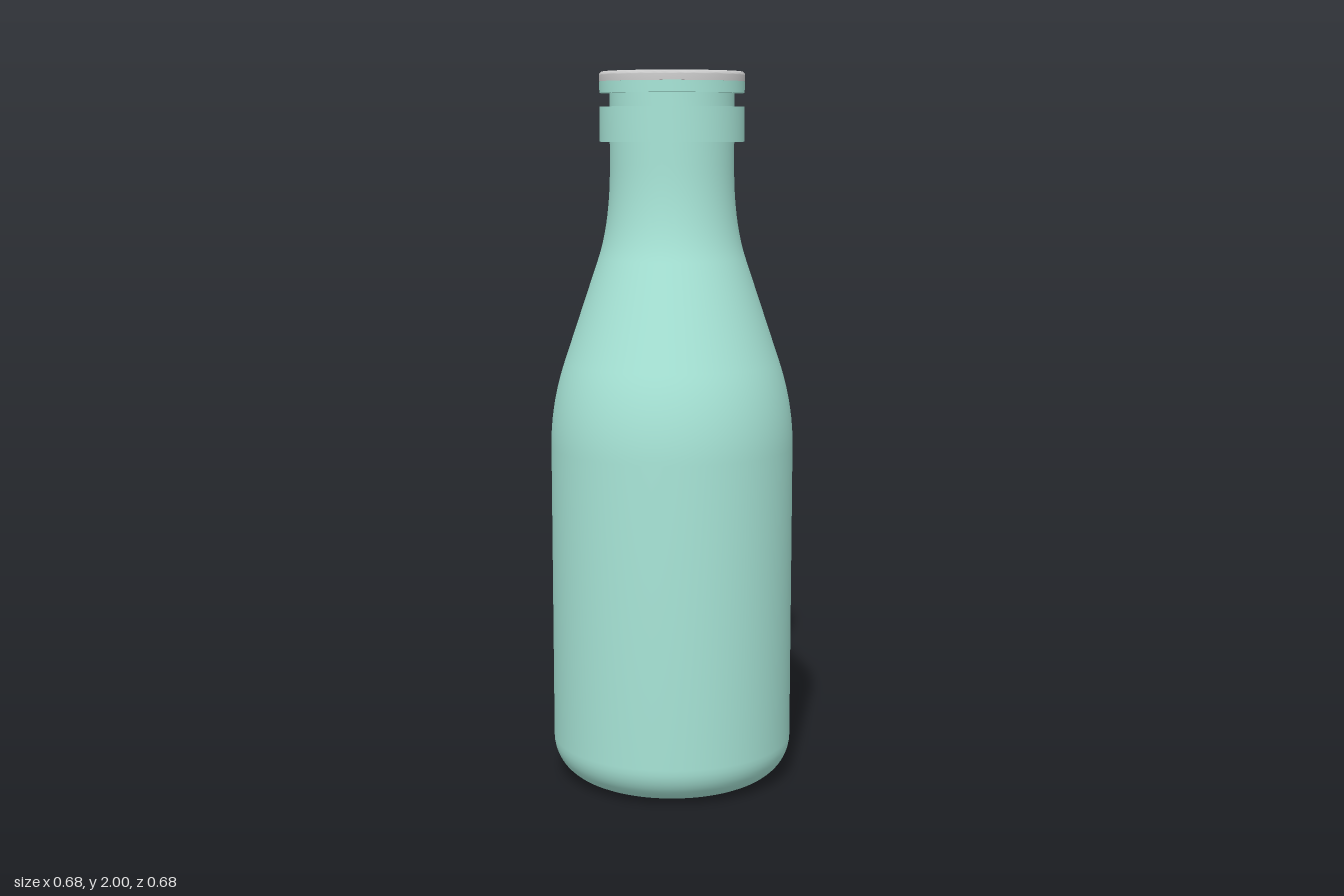
import * as THREE from 'three';
import { toCreasedNormals } from 'three/addons/utils/BufferGeometryUtils.js';

// Revolve a path (x = radius, y = height, bottom to top), keeping hard edges sharp
function revolve(name, path, material) {
  const lathe = new THREE.LatheGeometry(path.getPoints(12), 96);
  const mesh = new THREE.Mesh(toCreasedNormals(lathe, 0.6), material);
  mesh.name = name;
  return mesh;
}

export function createModel() {
  const model = new THREE.Group();
  model.name = 'bottle';
  const mint = new THREE.MeshStandardMaterial({ color: 0xa8e6d8 });
  const grey = new THREE.MeshStandardMaterial({ color: 0xcccccc });

  // Body: flat base, rounded heel, straight wall, sloping shoulder, neck
  const body = new THREE.Path();
  body.moveTo(0, 0);
  body.lineTo(0.23, 0);
  body.bezierCurveTo(0.293, 0, 0.342, 0.05, 0.342, 0.113);
  body.lineTo(0.342, 0.96);
  body.quadraticCurveTo(0.342, 1.08, 0.302, 1.2);
  body.lineTo(0.205, 1.49);
  body.quadraticCurveTo(0.172, 1.59, 0.172, 1.75);
  body.lineTo(0.172, 1.81);

  // Collar ring, groove and lip
  body.lineTo(0.2, 1.81);
  body.lineTo(0.2, 1.905);
  body.lineTo(0.172, 1.905);
  body.lineTo(0.172, 1.942);
  body.lineTo(0.2, 1.942);
  body.lineTo(0.2, 1.973);
  model.add(revolve('glassBody', body, mint));

  // Flat cap with a softly rounded rim
  const cap = new THREE.Path();
  cap.moveTo(0, 1.973);
  cap.lineTo(0.201, 1.973);
  cap.lineTo(0.201, 1.988);
  cap.quadraticCurveTo(0.201, 2, 0.189, 2);
  cap.lineTo(0, 2);
  model.add(revolve('cap', cap, grey));

  return model;
}
